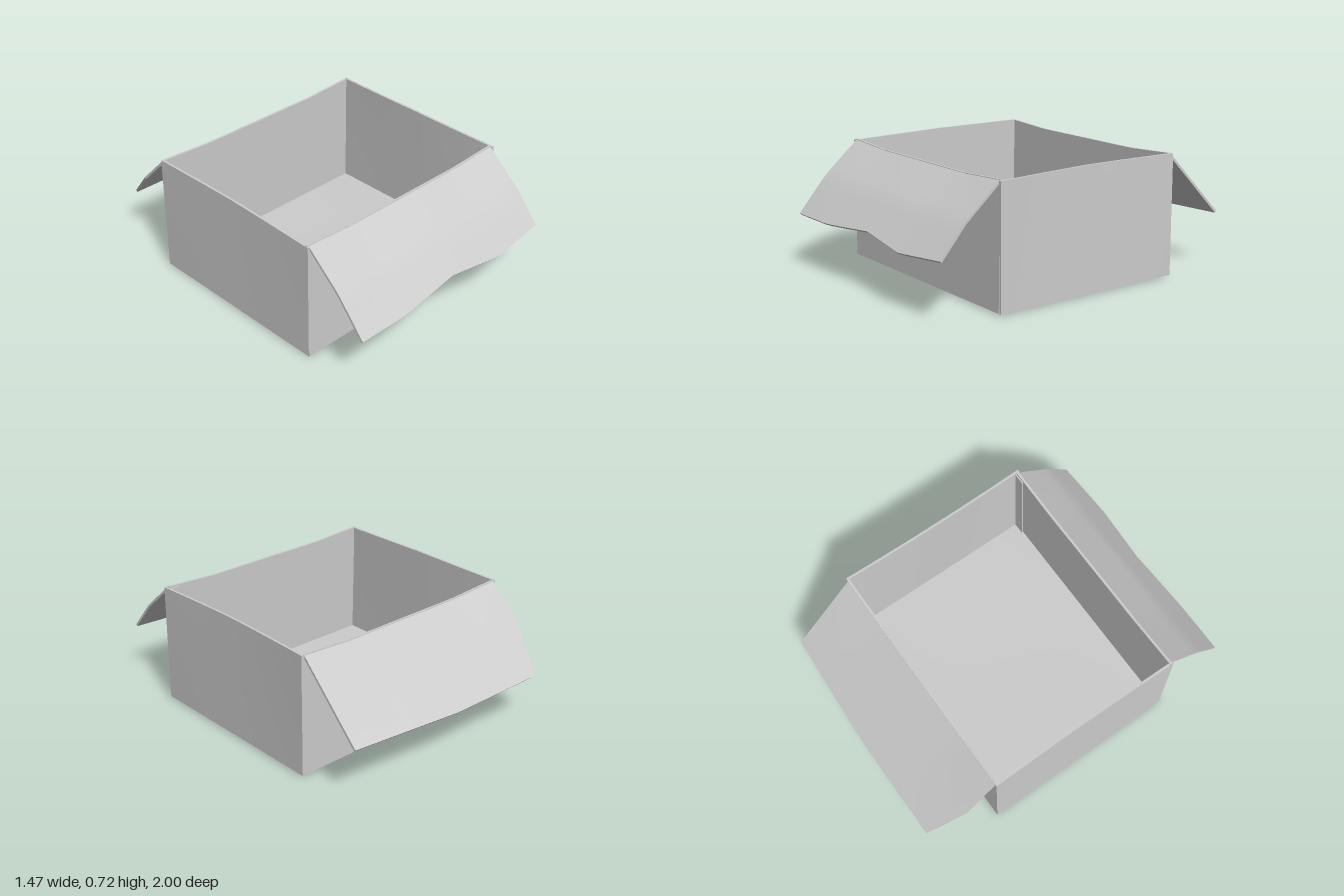
import * as THREE from 'three';

const BOARD = 0.014;
const lerp = THREE.MathUtils.lerp;
const bump = (t) => Math.sin(Math.PI * t);

// Piecewise linear curve through [x, value] pairs
function curve(points, x) {
  for (let i = 1; i < points.length; i++) {
    const [x0, y0] = points[i - 1], [x1, y1] = points[i];
    if (x <= x1 || i === points.length - 1) return lerp(y0, y1, (x - x0) / (x1 - x0));
  }
}

// Sheet of board: point(u, v) is the outer face, thickness goes inward along the normal
function sheet(name, cols, rows, normal, point, thickness = BOARD) {
  const geometry = new THREE.BoxGeometry(1, 1, 1, cols, rows, 1);
  const pos = geometry.attributes.position;
  const n = new THREE.Vector3(...normal).normalize();
  for (let i = 0; i < pos.count; i++) {
    const p = new THREE.Vector3(...point(pos.getX(i) + 0.5, pos.getY(i) + 0.5));
    p.addScaledVector(n, (pos.getZ(i) - 0.5) * thickness);
    pos.setXYZ(i, p.x, p.y, p.z);
  }
  geometry.computeVertexNormals();
  const mesh = new THREE.Mesh(geometry, new THREE.MeshStandardMaterial({ color: 0xcccccc }));
  mesh.name = name;
  return mesh;
}

// Height of the sagging front and back rims
const rim = (x) => curve([[-0.73, 0.718], [-0.4, 0.7], [0.4, 0.7], [0.73, 0.718]], x);

export function createModel() {
  const box = new THREE.Group();
  box.name = 'openCarton';

  // Slightly bulging floor
  box.add(sheet('floor', 14, 12, [0, -1, 0], (u, v) => [
    lerp(-0.724, 0.724, u), 0.01 * (1 - bump(u) * bump(v)), lerp(-0.574, 0.606, v),
  ]));

  // Long walls; the front one stops short of the glued corner
  box.add(sheet('frontWall', 18, 8, [0, 0, 1], (u, v) => {
    const x = lerp(-0.732, 0.716, u);
    return [x, lerp(0.01, rim(x), v), lerp(0.614, 0.604, v)];
  }));
  box.add(sheet('backWall', 18, 8, [0, 0, -1], (u, v) => {
    const x = lerp(0.732, -0.732, u);
    return [x, lerp(0.01, rim(x), v), -0.582];
  }));

  // Short walls, bowing inward toward the rim
  for (const [name, side, bow] of [['leftWall', 1, 0.012], ['rightWall', -1, 0.006]]) {
    box.add(sheet(name, 14, 8, [side, 0, 0], (u, v) => {
      const t = side > 0 ? 1 - u : u;
      const top = curve([[0, 0.718], [0.5, 0.723], [1, 0.712]], t);
      return [side * (0.734 - bow * bump(t) * v), lerp(0.01, top, v), lerp(-0.582, 0.612, t)];
    }));
  }

  // Glue tab behind the front wall at the seam corner
  box.add(sheet('glueTab', 2, 4, [0, 0, 1], (u, v) => [
    lerp(0.65, 0.718, u), lerp(0.02, 0.705, v), lerp(0.598, 0.589, v),
  ], 0.008));

  // Front flap, bent halfway, with a wavy free edge
  const frontEdge = [[-0.72, 0.995], [-0.4, 0.995], [0, 0.965], [0.36, 0.995], [0.71, 0.97]];
  const frontSlope = [[0.6, 0], [0.82, -0.19], [1, -0.4]];
  box.add(sheet('frontFlap', 20, 10, [0, 0.7, 0.7], (u, v) => {
    const x = lerp(-0.72, 0.714, u);
    const z = lerp(curve(frontEdge, x), 0.6, v);
    return [x, lerp(0.715, rim(x), v) + curve(frontSlope, z), z];
  }));

  // Back flap, straight, with one clipped corner
  const backEdge = [[-0.72, -0.78], [-0.64, -1], [0, -1], [0.714, -0.965]];
  box.add(sheet('backFlap', 18, 8, [0, 0.7, -0.7], (u, v) => {
    const x = lerp(0.714, -0.72, u);
    const z = lerp(curve(backEdge, x), -0.578, v);
    return [x, lerp(0.715, rim(x), v) + (z + 0.578), z];
  }));

  return box;
}
